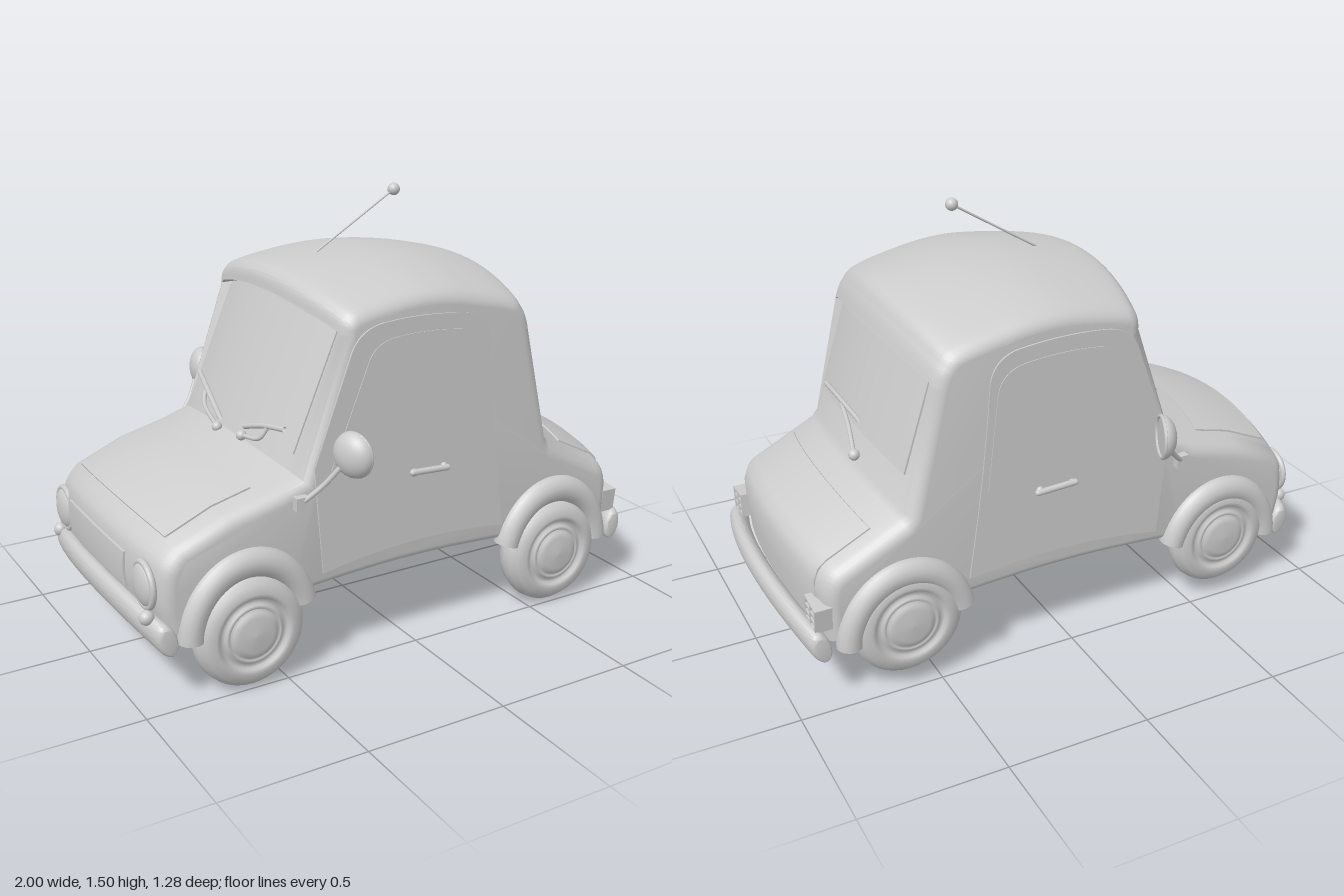
import * as THREE from 'three';
import { toCreasedNormals } from 'three/addons/utils/BufferGeometryUtils.js';

const HALF = 0.466; // half width of the body
const mat = new THREE.MeshStandardMaterial({ color: 0xcccccc, side: THREE.DoubleSide });
const V = (x, y, z) => new THREE.Vector3(x, y, z);
const V2 = (pts) => pts.map((p) => new THREE.Vector2(...p));

// The car bows out at both ends and sags toward its sides, the roof a little more
function bend(x, y, z) {
  const s2 = (z / HALF) ** 2;
  const sag = 0.06 + 0.025 * THREE.MathUtils.smoothstep(y, 1.12, 1.25);
  return V(x - 0.06 * s2 * THREE.MathUtils.clamp(x / 0.3, -1, 1), y - sag * s2, z);
}

// Side profile extruded across the width, rounded at the ends, then bent.
// Each recess [x, y, newX] pushes one profile point inward between the pillars.
function bentExtrude(shape, half, round, roundZ = round, recesses = []) {
  const geo = new THREE.ExtrudeGeometry(shape, {
    depth: 2 * (half - roundZ), steps: 27, curveSegments: 24, bevelEnabled: round > 0,
    bevelSize: round, bevelThickness: roundZ, bevelOffset: -round, bevelSegments: 5,
  });
  geo.translate(0, 0, -(half - roundZ));
  const p = geo.attributes.position;
  for (let i = 0; i < p.count; i++) {
    let x = p.getX(i);
    const y = p.getY(i), z = p.getZ(i);
    for (const [rx, ry, newX] of recesses) {
      if (Math.abs(z) < 0.395 && Math.hypot(x - rx, y - ry) < 0.001) x = newX;
    }
    const v = bend(x, y, z);
    p.setXYZ(i, v.x, v.y, v.z);
  }
  return toCreasedNormals(geo, 0.65);
}

// Thin bent sheet lying on a run of the body profile
function sheet(pts, half, t = 0.006) {
  const a = pts[0], b = pts[pts.length - 1];
  const len = Math.hypot(b[0] - a[0], b[1] - a[1]);
  const nx = -(b[1] - a[1]) / len * t, ny = (b[0] - a[0]) / len * t;
  const up = pts.map(([x, y]) => [x + nx, y + ny]);
  const down = pts.map(([x, y]) => [x - nx, y - ny]).reverse();
  return bentExtrude(new THREE.Shape(V2([...up, ...down])), half, 0);
}

// Flat plate in the side plane, centred on z = 0
function plate(shape, depth) {
  const geo = new THREE.ExtrudeGeometry(shape, { depth, curveSegments: 24, bevelEnabled: false });
  geo.translate(0, 0, -depth / 2);
  return toCreasedNormals(geo, 0.65);
}

export function createModel() {
  const car = new THREE.Group();
  car.name = 'car';
  const add = (name, geo, x = 0, y = 0, z = 0) => {
    const m = new THREE.Mesh(geo, mat);
    m.name = name;
    m.position.set(x, y, z);
    car.add(m);
    return m;
  };
  const rod = (name, pts, r) =>
    add(name, new THREE.TubeGeometry(new THREE.CatmullRomCurve3(pts), 12, r, 8));
  const ball = (name, p, r) => add(name, new THREE.SphereGeometry(r, 20, 14), p.x, p.y, p.z);

  // Body shell, with both windows sunk under the roof edge
  const body = new THREE.Shape();
  body.moveTo(-0.9, 0.28);
  body.lineTo(-0.95, 0.3);
  body.splineThru(V2([[-0.968, 0.4], [-0.957, 0.51], [-0.91, 0.572]]));
  body.lineTo(-0.74, 0.645);
  body.lineTo(-0.56, 0.69);
  body.lineTo(-0.47, 0.72);
  body.lineTo(-0.314, 1.18);
  body.lineTo(-0.316, 1.19);
  body.splineThru(V2([[-0.3, 1.245], [-0.23, 1.275], [0, 1.303], [0.17, 1.3], [0.33, 1.275],
    [0.465, 1.235], [0.51, 1.18], [0.535, 1.115]]));
  body.lineTo(0.537, 1.105);
  body.lineTo(0.635, 0.68);
  body.lineTo(0.655, 0.655);
  body.lineTo(0.88, 0.54);
  body.quadraticCurveTo(0.928, 0.515, 0.93, 0.44);
  body.lineTo(0.92, 0.28);
  body.quadraticCurveTo(0.02, 0.42, -0.9, 0.28);
  add('body', bentExtrude(body, HALF, 0.035, 0.045, [[-0.314, 1.18, -0.275], [0.537, 1.105, 0.505]]));

  // Glass, lids and grille
  add('windshield', sheet([[-0.448, 0.772], [-0.281, 1.166]], 0.385));
  add('rearWindow', sheet([[0.604, 0.783], [0.508, 1.095]], 0.385));
  add('hoodLid', sheet([[-0.6, 0.68], [-0.74, 0.645], [-0.9, 0.576]], 0.375));
  add('trunkLid', sheet([[0.73, 0.616], [0.88, 0.54], [0.911, 0.515], [0.927, 0.47], [0.925, 0.38]], 0.385));
  add('grille', sheet([[-0.964, 0.48], [-0.969, 0.42], [-0.962, 0.36]], 0.25, 0.008));

  // Bumpers: rounded bars leaning slightly outward at the top
  for (const [name, e] of [['frontBumper', -1], ['rearBumper', 1]]) {
    const bar = new THREE.Shape();
    bar.absellipse(e * 0.963, 0.288, 0.034, 0.056, 0, Math.PI * 2, false, -e * 0.25);
    add(name, bentExtrude(bar, 0.475, 0.012, 0.025));
  }

  // Shapes shared by both sides
  const door = new THREE.Shape();
  door.moveTo(-0.35, 0.33);
  door.lineTo(-0.38, 0.7);
  door.lineTo(-0.245, 1.06);
  door.quadraticCurveTo(-0.215, 1.14, -0.12, 1.15);
  door.quadraticCurveTo(0.03, 1.165, 0.19, 1.143);
  door.quadraticCurveTo(0.285, 1.13, 0.3, 1.04);
  door.quadraticCurveTo(0.32, 0.72, 0.38, 0.345);
  door.quadraticCurveTo(0.01, 0.4, -0.35, 0.33);
  const pane = new THREE.Shape();
  pane.moveTo(-0.32, 0.685);
  pane.lineTo(-0.18, 1.03);
  pane.quadraticCurveTo(-0.155, 1.09, -0.08, 1.097);
  pane.quadraticCurveTo(0.04, 1.11, 0.18, 1.09);
  pane.quadraticCurveTo(0.265, 1.075, 0.275, 0.99);
  pane.lineTo(0.31, 0.66);
  pane.quadraticCurveTo(0, 0.705, -0.32, 0.685);
  const wheel = new THREE.LatheGeometry(V2([[0, -0.075], [0.1, -0.072], [0.155, -0.062], [0.185, -0.035],
    [0.195, 0], [0.19, 0.03], [0.17, 0.055], [0.14, 0.064], [0.125, 0.06], [0.12, 0.048], [0.105, 0.048],
    [0.1, 0.058], [0.09, 0.06], [0.085, 0.052], [0.08, 0.064], [0.06, 0.07], [0, 0.075]]), 40);
  // Flared arch, longer on its outer end
  const arch = new THREE.TorusGeometry(0.233, 0.05, 14, 32, Math.PI - 0.3);
  arch.rotateZ(0.26);
  arch.scale(0.88, 1, 0.9);

  for (const s of [1, -1]) {
    add('door', plate(door, 0.012), 0, 0, s * 0.466);
    add('sideWindow', plate(pane, 0.012), 0, 0, s * 0.469);

    // Wheels and fenders; the far pair of wheels is slimmer and rides a little higher
    for (const x of [-0.622, 0.605]) {
      add('fender', arch, x, 0.2, s * 0.464).rotation.y = x > 0 ? Math.PI : 0;
      const w = add('wheel', wheel, x, s > 0 ? 0.198 : 0.25, s * 0.449);
      w.rotation.x = s * Math.PI / 2;
      w.scale.y = s > 0 ? 1 : 0.88;
    }

    // Door handle
    const handle = add('doorHandle', new THREE.CapsuleGeometry(0.011, 0.14, 6, 12), 0.06, 0.618, s * 0.481);
    handle.rotation.z = Math.PI / 2 - 0.05;
    for (const x of [0, 0.12]) ball('handleMount', V(x, 0.618, s * 0.472), 0.014);

    // Door mirror: domed shell with a flat glass facing rearward
    add('mirrorBase', new THREE.BoxGeometry(0.045, 0.045, 0.04), -0.435, 0.6, s * 0.472);
    rod('mirrorStem', [V(-0.435, 0.6, s * 0.48), V(-0.375, 0.66, s * 0.515), V(-0.32, 0.74, s * 0.555)], 0.009);
    const mirror = new THREE.Group();
    mirror.name = 'mirror';
    const shell = new THREE.Mesh(new THREE.SphereGeometry(0.077, 24, 10, 0, Math.PI * 2, 0, Math.PI / 2), mat);
    shell.name = 'mirrorShell';
    shell.scale.y = 0.65;
    const rim = new THREE.Mesh(new THREE.TorusGeometry(0.071, 0.007, 8, 28), mat);
    rim.name = 'mirrorRim';
    rim.rotation.x = Math.PI / 2;
    const glass = new THREE.Mesh(new THREE.CircleGeometry(0.072, 28), mat);
    glass.name = 'mirrorGlass';
    glass.rotation.x = Math.PI / 2;
    mirror.add(shell, rim, glass);
    mirror.rotation.set(0, s * 0.35, Math.PI / 2);
    mirror.position.set(-0.29, 0.765, s * 0.565);
    car.add(mirror);

    // Headlight with rim, and a small lamp below
    const lamp = add('headlight', new THREE.SphereGeometry(0.074, 24, 16), -0.93, 0.39, s * 0.36);
    lamp.scale.x = 0.4;
    add('headlightRim', new THREE.TorusGeometry(0.074, 0.011, 10, 32), -0.932, 0.39, s * 0.36)
      .rotation.y = Math.PI / 2;
    ball('indicator', V(-0.945, 0.295, s * 0.4), 0.025);

    // Slatted tail light
    const tail = new THREE.Group();
    tail.name = 'tailLight';
    const bar = (name, w, h, d, y, z) => {
      const m = new THREE.Mesh(new THREE.BoxGeometry(w, h, d), mat);
      m.name = name;
      m.position.set(0, y, z);
      tail.add(m);
    };
    bar('tailLens', 0.04, 0.08, 0.095, 0, 0);
    for (const i of [-1.5, -0.5, 0.5, 1.5]) bar('tailSlat', 0.06, 0.009, 0.1, i * 0.026, 0);
    for (const i of [-1, 0, 1]) bar('tailFrame', 0.06, 0.086, 0.009, 0, i * 0.046);
    tail.position.set(0.888, 0.33, s * 0.405);
    tail.rotation.x = s * 0.1;
    car.add(tail);
  }

  // Wipers, placed just above the bent glass
  const onRear = (y, z) => bend(0.65 - 0.314 * (y - 0.68), y, z);
  const onFront = (y, z) => bend(-0.49 + 0.43 * (y - 0.72), y, z);
  ball('rearWiperPivot', onRear(0.709, -0.115), 0.02);
  rod('rearWiperArm', [onRear(0.709, -0.115), onRear(0.77, -0.03), onRear(0.811, 0.065)], 0.008);
  rod('rearWiperBlade', [onRear(0.814, 0.295), onRear(0.82, 0.1), onRear(0.817, -0.09)], 0.009);
  for (const [y0, z0, y1, z1] of [[0.72, -0.02, 0.85, -0.34], [0.74, 0.14, 0.83, 0.33]]) {
    const ym = (y0 + y1) / 2, zm = (z0 + z1) / 2;
    rod('frontWiperBlade', [onFront(y0 + 0.03, z0), onFront(ym + 0.02, zm), onFront(y1, z1)], 0.01);
    rod('frontWiperArm', [onFront(y0, z0), onFront(ym - 0.02, zm), onFront(ym + 0.02, zm + (z1 - z0) * 0.1)], 0.008);
    ball('frontWiperPivot', onFront(y0, z0), 0.018);
  }

  // Antenna
  rod('antenna', [V(-0.11, 1.29, 0), V(0.05, 1.387, 0), V(0.21, 1.485, 0)], 0.004);
  ball('antennaTip', V(0.21, 1.485, 0), 0.022);
  return car;
}
